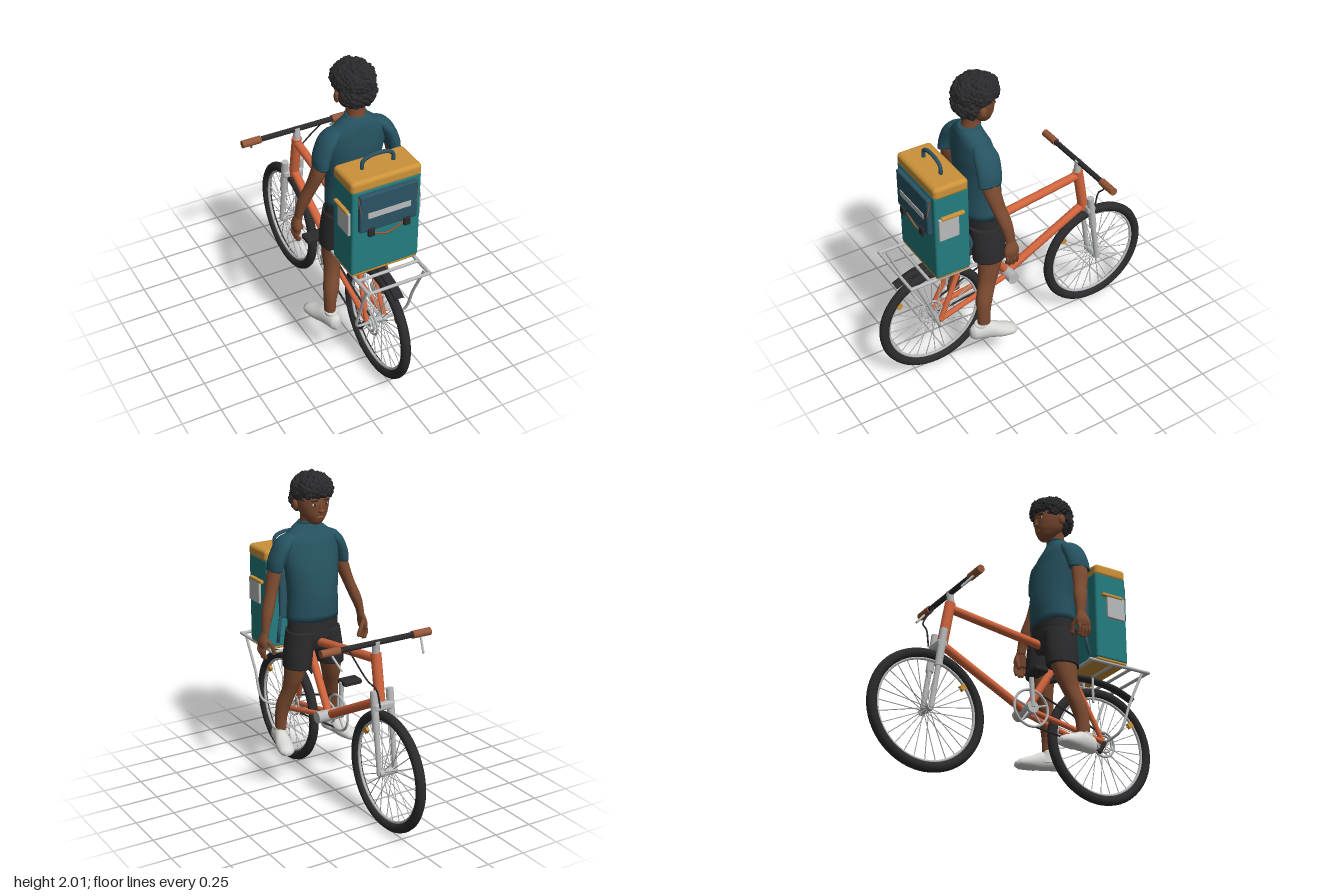
import * as THREE from 'three';
import { mergeGeometries } from 'three/addons/utils/BufferGeometryUtils.js';
import { RoundedBoxGeometry } from 'three/addons/geometries/RoundedBoxGeometry.js';

const colour = (name, hex) => {
  const m = new THREE.MeshStandardMaterial({ color: hex });
  m.name = name;
  return m;
};
const V = (p) => new THREE.Vector3(...p);

export function createModel() {
  const black = colour('black', 0x2b2b2d), orange = colour('frame orange', 0xd2653d);
  const shirtTeal = colour('shirt teal', 0x265361), boxTeal = colour('bag teal', 0x247d80);
  const amber = colour('amber', 0xcb9239), grey = colour('light grey', 0xb9babb);
  const skin = colour('skin', 0x7b4a30), grip = colour('grip brown', 0x96573a);
  const white = colour('shoe white', 0xd6d6d3), slate = colour('pocket slate', 0x2b5263);

  const root = new THREE.Group();
  const bike = new THREE.Group(), rider = new THREE.Group(), bag = new THREE.Group();
  bike.name = 'bicycle'; rider.name = 'rider'; bag.name = 'deliveryBag';
  root.add(bike, rider, bag);

  const add = (parent, name, geo, mat, pos = [0, 0, 0], rot = [0, 0, 0]) => {
    const m = new THREE.Mesh(geo, mat);
    m.name = name;
    m.position.set(...pos);
    m.rotation.set(...rot);
    parent.add(m);
    return m;
  };
  // straight round bar from a to b
  const barGeo = (a, b, r, r2 = r, n = 14) => {
    const d = V(b).sub(V(a));
    const g = new THREE.CylinderGeometry(r2, r, d.length(), n);
    g.applyQuaternion(new THREE.Quaternion().setFromUnitVectors(new THREE.Vector3(0, 1, 0), d.clone().normalize()));
    return g.translate(...V(a).addScaledVector(d, 0.5).toArray());
  };
  const bar = (parent, name, a, b, r, mat, r2 = r) => add(parent, name, barGeo(a, b, r, r2), mat);
  const cord = (parent, name, pts, r, mat) =>
    add(parent, name, new THREE.TubeGeometry(new THREE.CatmullRomCurve3(pts.map(V)), 32, r, 8), mat);
  const ball = (parent, name, pos, size, mat) =>
    add(parent, name, new THREE.SphereGeometry(1, 20, 14), mat, pos).scale.set(...size);
  const block = (parent, name, size, pos, mat, r = 0) =>
    add(parent, name, r ? new RoundedBoxGeometry(...size, 3, r) : new THREE.BoxGeometry(...size), mat, pos);
  // smooth body through elliptical rings [x, y, z, rx, rz], listed bottom to top
  const loftGeo = (rings, n = 28, steps = 24) => {
    const mid = new THREE.CatmullRomCurve3(rings.map((r) => V(r.slice(0, 3))));
    const rad = new THREE.CatmullRomCurve3(rings.map((r) => new THREE.Vector3(r[3], r[4], 0)));
    const pos = [], idx = [];
    for (let i = 0; i <= steps; i++) {
      const c = mid.getPoint(i / steps), r = rad.getPoint(i / steps);
      for (let j = 0; j < n; j++) {
        const t = (j / n) * Math.PI * 2;
        pos.push(c.x + r.x * Math.cos(t), c.y, c.z + r.y * Math.sin(t));
        const a = i * n + j, b = i * n + ((j + 1) % n);
        if (i < steps) idx.push(a, a + n, b, b, a + n, b + n);
      }
    }
    const base = (steps + 1) * n;
    pos.push(...rings[0].slice(0, 3), ...rings[rings.length - 1].slice(0, 3));
    for (let j = 0; j < n; j++) {
      const k = (j + 1) % n;
      idx.push(base, j, k, base + 1, steps * n + k, steps * n + j);
    }
    const g = new THREE.BufferGeometry();
    g.setAttribute('position', new THREE.Float32BufferAttribute(pos, 3));
    g.setIndex(idx);
    g.computeVertexNormals();
    return g;
  };
  const loft = (parent, name, rings, mat) => add(parent, name, loftGeo(rings), mat);
  const side = (s, rings) => rings.map(([x, ...rest]) => [x * s, ...rest]);

  // ---- wheels ----
  const wheel = (name, z) => {
    const w = new THREE.Group();
    w.name = name;
    w.position.set(0, 0.375, z);
    bike.add(w);
    const ring = (n, R, r, mat, x = 0) => add(w, n, new THREE.TorusGeometry(R, r, 12, 64), mat, [x, 0, 0], [0, Math.PI / 2, 0]);
    ring('tire', 0.341, 0.03, black);
    ring('rim', 0.308, 0.009, grey);
    bar(w, 'hub', [-0.06, 0, 0], [0.06, 0, 0], 0.022, grey);
    const spokes = [];
    for (let i = 0; i < 28; i++) {
      const t = (i / 28) * Math.PI * 2, c = Math.cos(t), s = Math.sin(t), x = i % 2 ? 0.03 : -0.03;
      spokes.push(barGeo([x, c * 0.02, s * 0.02], [0, c * 0.305, s * 0.305], 0.0028, 0.0028, 5));
    }
    add(w, 'spokes', mergeGeometries(spokes), grey);
    add(w, 'reflector', new THREE.BoxGeometry(0.02, 0.05, 0.035), amber, [0, 0.185, 0.237], [0.9, 0, 0]);
    return ring;
  };
  wheel('frontWheel', -0.587);
  const rearRing = wheel('rearWheel', 0.598);
  rearRing('largeSprocket', 0.078, 0.007, grey, -0.04);
  rearRing('smallSprocket', 0.052, 0.007, grey, -0.05);

  // ---- frame, fork, steering ----
  bar(bike, 'topTube', [0, 0.925, 0.33], [0, 1.04, -0.45], 0.027, orange);
  bar(bike, 'headTube', [0, 1.075, -0.45], [0, 0.765, -0.503], 0.032, orange);
  bar(bike, 'downTube', [0, 0.79, -0.49], [0, 0.495, 0.07], 0.027, orange);
  bar(bike, 'seatTube', [0, 0.495, 0.07], [0, 0.95, 0.355], 0.025, orange);
  bar(bike, 'seatPost', [0, 0.93, 0.345], [0, 1.06, 0.37], 0.016, grey);
  add(bike, 'saddle', loftGeo([[0, 0, 0, 0.02, 0.015], [0, 0.05, 0, 0.03, 0.025], [0, 0.16, 0, 0.07, 0.03],
    [0, 0.21, 0, 0.06, 0.025], [0, 0.22, 0, 0.03, 0.01]]), black, [0, 1.08, 0.21], [Math.PI / 2, 0, 0]);
  block(bike, 'forkCrown', [0.14, 0.05, 0.06], [0, 0.775, -0.525], grey, 0.015);
  for (const s of [1, -1]) {
    bar(bike, 'chainStay', [s * 0.03, 0.495, 0.09], [s * 0.06, 0.38, 0.59], 0.017, orange);
    bar(bike, 'seatStay', [s * 0.025, 0.9, 0.335], [s * 0.06, 0.38, 0.58], 0.016, orange);
    bar(bike, 'forkUpper', [s * 0.055, 0.87, -0.515], [s * 0.055, 0.63, -0.547], 0.023, grey);
    bar(bike, 'forkLower', [s * 0.055, 0.65, -0.545], [s * 0.055, 0.365, -0.587], 0.016, grey);
    bar(bike, 'grip', [s * 0.25, 1.14, -0.454], [s * 0.375, 1.14, -0.454], 0.024, grip);
    bar(bike, 'brakeLever', [s * 0.305, 1.12, -0.465], [s * 0.28, 1.045, -0.53], 0.007, grey);
    cord(bike, 'rackStrut', [[s * 0.19, 0.835, 0.8], [s * 0.175, 0.62, 0.71], [s * 0.16, 0.43, 0.64], [s * 0.05, 0.38, 0.6]], 0.009, grey);
    bar(bike, 'rackRail', [s * 0.2, 0.838, 0.4], [s * 0.2, 0.838, 0.845], 0.011, grey);
    bar(bike, 'fenderStay', [s * 0.05, 0.79, 0.525], [s * 0.05, 0.63, 0.525], 0.008, grey);
  }
  bar(bike, 'stem', [0, 1.05, -0.446], [0, 1.15, -0.454], 0.023, grey);
  bar(bike, 'handlebar', [-0.26, 1.14, -0.454], [0.26, 1.14, -0.454], 0.017, black);
  cord(bike, 'brakeCable', [[0.19, 1.13, -0.46], [0.13, 0.97, -0.56], [0.07, 0.9, -0.565], [0.04, 0.78, -0.565]], 0.005, black);
  // rack cross bars and rear fender
  for (const z of [0.42, 0.58, 0.71, 0.838]) bar(bike, 'rackCrossBar', [-0.2, 0.838, z], [0.2, 0.838, z], 0.01, grey);
  cord(bike, 'rearFender', [[0, 0.725, 0.85], [0, 0.775, 0.72], [0, 0.797, 0.54], [0, 0.782, 0.38], [0, 0.72, 0.23]], 0.017, black).scale.x = 1.9;

  // ---- drivetrain ----
  bar(bike, 'bottomBracket', [-0.09, 0.495, 0.07], [0.09, 0.495, 0.07], 0.038, grey);
  add(bike, 'chainring', new THREE.TorusGeometry(0.115, 0.008, 10, 56), grey, [-0.065, 0.495, 0.07], [0, Math.PI / 2, 0]);
  for (let i = 0; i < 5; i++) {
    const t = i * Math.PI * 0.4;
    bar(bike, 'chainringArm', [-0.065, 0.495, 0.07], [-0.065, 0.495 + Math.cos(t) * 0.115, 0.07 + Math.sin(t) * 0.115], 0.007, grey);
  }
  bar(bike, 'crankArm', [-0.085, 0.495, 0.07], [-0.085, 0.7, 0.06], 0.015, grey);
  block(bike, 'pedal', [0.13, 0.035, 0.09], [-0.145, 0.695, 0.06], black, 0.012);
  bar(bike, 'upperChain', [-0.065, 0.608, 0.1], [-0.05, 0.43, 0.6], 0.006, black);
  bar(bike, 'lowerChain', [-0.065, 0.382, 0.1], [-0.08, 0.31, 0.54], 0.006, black);
  bar(bike, 'derailleur', [-0.08, 0.37, 0.58], [-0.08, 0.3, 0.54], 0.013, black);

  // ---- delivery bag ----
  block(bag, 'bagBody', [0.44, 0.58, 0.225], [0, 1.145, 0.562], boxTeal, 0.015);
  block(bag, 'bagLid', [0.45, 0.08, 0.225], [0, 1.455, 0.562], amber, 0.025);
  block(bag, 'bagBase', [0.43, 0.045, 0.22], [0, 0.863, 0.562], amber, 0.012);
  cord(bag, 'bagHandle', [[-0.1, 1.48, 0.56], [-0.095, 1.54, 0.56], [-0.05, 1.565, 0.56], [0.05, 1.565, 0.56],
    [0.095, 1.54, 0.56], [0.1, 1.48, 0.56]], 0.012, slate);
  block(bag, 'frontPocket', [0.37, 0.25, 0.035], [0, 1.287, 0.685], slate, 0.012);
  block(bag, 'reflectiveStrip', [0.275, 0.036, 0.006], [0, 1.274, 0.704], grey);
  cord(bag, 'pocketCord', [[-0.105, 1.14, 0.685], [0, 1.1, 0.682], [0.105, 1.14, 0.685]], 0.006, grip);
  for (const s of [1, -1]) {
    block(bag, 'buckle', [0.042, 0.055, 0.02], [s * 0.115, 1.158, 0.705], black, 0.006);
    cord(bag, 'pocketTrim', [[s * 0.188, 1.4, 0.685], [s * 0.178, 1.3, 0.698], [s * 0.16, 1.17, 0.695]], 0.004, grip);
    block(bag, 'sidePocket', [0.02, 0.15, 0.13], [s * 0.225, 1.208, 0.59], grey, 0.005);
    block(bag, 'sidePocketBand', [0.03, 0.02, 0.15], [s * 0.226, 1.283, 0.563], amber, 0.006);
    block(bag, 'backStrap', [0.06, 0.3, 0.03], [s * 0.11, 1.2, 0.436], slate, 0.01);
    cord(bag, 'lowerStrap', [[s * 0.13, 1.07, 0.435], [s * 0.16, 0.97, 0.41], [s * 0.15, 0.89, 0.44]], 0.011, slate);
  }

  // ---- rider: clothes ----
  loft(rider, 'shirt', [[0, 1.09, 0.27, 0.172, 0.125], [0, 1.24, 0.267, 0.165, 0.13], [0, 1.4, 0.278, 0.178, 0.122],
    [0, 1.5, 0.292, 0.19, 0.11], [0, 1.59, 0.303, 0.18, 0.095], [0, 1.65, 0.315, 0.115, 0.078], [0, 1.69, 0.315, 0.062, 0.064]], shirtTeal);
  add(rider, 'collar', new THREE.TorusGeometry(0.061, 0.009, 10, 32), shirtTeal, [0, 1.686, 0.313], [Math.PI / 2 + 0.15, 0, 0]);
  loft(rider, 'shortsHip', [[0, 0.9, 0.265, 0.12, 0.09], [0, 0.98, 0.265, 0.172, 0.11], [0, 1.12, 0.27, 0.165, 0.115]], black);
  for (const s of [1, -1]) {
    loft(rider, 'sleeve', side(s, [[0.235, 1.41, 0.32, 0.04, 0.074], [0.222, 1.47, 0.315, 0.047, 0.077],
      [0.187, 1.55, 0.31, 0.05, 0.078], [0.15, 1.605, 0.31, 0.045, 0.06], [0.12, 1.63, 0.31, 0.02, 0.03]]), shirtTeal);
    loft(rider, 'shortsLeg', side(s, [[0.117, 0.785, 0.262, 0.085, 0.106], [0.108, 0.88, 0.262, 0.088, 0.108], [0.09, 1.02, 0.265, 0.085, 0.108]]), black);
    // legs and shoes
    loft(rider, 'leg', side(s, [[0.19, 0.31, 0.35, 0.033, 0.04], [0.188, 0.42, 0.35, 0.037, 0.043], [0.172, 0.52, 0.335, 0.048, 0.052],
      [0.15, 0.62, 0.3, 0.047, 0.058], [0.137, 0.7, 0.277, 0.057, 0.07], [0.12, 0.82, 0.262, 0.07, 0.088]]), skin);
    const shoe = loftGeo([[0, 0, 0.05, 0.02, 0.035], [0, 0.03, 0.055, 0.042, 0.055], [0, 0.12, 0.055, 0.044, 0.06],
      [0, 0.2, 0.035, 0.053, 0.047], [0, 0.27, 0.025, 0.047, 0.032], [0, 0.3, 0.02, 0.02, 0.015]]).rotateX(-Math.PI / 2);
    const p = shoe.attributes.position;
    for (let i = 0; i < p.count; i++) p.setY(i, Math.max(0, p.getY(i)));
    shoe.computeVertexNormals();
    add(rider, 'shoe', shoe, white, [s * 0.175, 0.235, 0.44], [0, -0.25 * s, 0]);
    loft(rider, 'shoeCollar', side(s, [[0.187, 0.27, 0.36, 0.04, 0.065], [0.188, 0.35, 0.362, 0.039, 0.05]]), white);
    // arms and hands
    loft(rider, 'arm', side(s, [[0.345, 1.03, 0.25, 0.021, 0.03], [0.338, 1.08, 0.255, 0.024, 0.032], [0.313, 1.17, 0.27, 0.036, 0.042],
      [0.277, 1.27, 0.295, 0.036, 0.045], [0.245, 1.37, 0.315, 0.042, 0.053], [0.225, 1.45, 0.318, 0.04, 0.05]]), skin);
    loft(rider, 'palm', side(s, [[0.362, 0.955, 0.255, 0.018, 0.045], [0.36, 0.99, 0.255, 0.024, 0.048], [0.345, 1.05, 0.25, 0.02, 0.028]]), skin);
    for (let i = 0; i < 4; i++) {
      const z = 0.222 + i * 0.022, tip = [0.9, 0.892, 0.895, 0.912][i];
      cord(rider, 'finger', [[s * 0.363, 0.97, z], [s * 0.37, 0.935, z], [s * 0.358, tip, z]], 0.011, skin);
      ball(rider, 'fingertip', [s * 0.358, tip, z], [0.011, 0.013, 0.011], skin);
    }
    cord(rider, 'thumb', [[s * 0.35, 1.01, 0.225], [s * 0.322, 0.97, 0.21], [s * 0.305, 0.925, 0.21]], 0.013, skin);
    ball(rider, 'thumbTip', [s * 0.305, 0.925, 0.21], [0.013, 0.014, 0.013], skin);
    // ears, eyes and brows
    ball(rider, 'ear', [s * 0.11, 1.81, 0.28], [0.014, 0.034, 0.023], skin);
    ball(rider, 'eyeWhite', [s * 0.04, 1.822, 0.166], [0.017, 0.008, 0.005], white);
    ball(rider, 'iris', [s * 0.04, 1.822, 0.163], [0.008, 0.008, 0.004], black);
    add(rider, 'brow', new THREE.BoxGeometry(0.04, 0.008, 0.009), black, [s * 0.042, 1.846, 0.163], [0, s * -0.25, s * -0.1]);
  }

  // ---- rider: head ----
  loft(rider, 'neck', [[0, 1.64, 0.315, 0.06, 0.058], [0, 1.7, 0.302, 0.055, 0.056], [0, 1.79, 0.295, 0.056, 0.06]], skin);
  loft(rider, 'head', [[0, 1.693, 0.222, 0.03, 0.03], [0, 1.715, 0.235, 0.055, 0.058], [0, 1.76, 0.25, 0.083, 0.088], [0, 1.82, 0.26, 0.1, 0.104],
    [0, 1.88, 0.265, 0.104, 0.108], [0, 1.94, 0.265, 0.085, 0.095], [0, 1.97, 0.265, 0.04, 0.05]], skin);
  ball(rider, 'noseTip', [0, 1.782, 0.156], [0.018, 0.014, 0.019], skin);
  ball(rider, 'noseBridge', [0, 1.802, 0.161], [0.011, 0.03, 0.013], skin);
  ball(rider, 'lips', [0, 1.742, 0.171], [0.024, 0.008, 0.008], grip);

  // curly hair: two caps covered in evenly spread curls
  const caps = [[0, 1.9, 0.268, 0.108, 0.085, 0.125, 260], [0, 1.83, 0.325, 0.098, 0.07, 0.066, 130]];
  const curls = [];
  for (const [cx, cy, cz, rx, ry, rz, n] of caps) {
    ball(rider, 'hairCap', [cx, cy, cz], [rx, ry, rz], black);
    for (let i = 0; i < n; i++) {
      const h = 1 - (2 * (i + 0.5)) / n, q = Math.sqrt(1 - h * h), a = i * 2.39996;
      const x = cx + rx * q * Math.cos(a), y = cy + ry * h, z = cz + rz * q * Math.sin(a);
      if ((z < 0.21 && y < 1.875) || (z < 0.31 && y < 1.84)) continue;
      const r = 0.016 + 0.007 * Math.abs(Math.sin(i * 7.3));
      const g = new THREE.SphereGeometry(r, 9, 7).scale(1.25, 0.8, 1);
      curls.push(g.rotateZ(i * 1.7).rotateY(i * 2.3).translate(x, y, z));
    }
  }
  add(rider, 'hairCurls', mergeGeometries(curls), black);
  return root;
}
